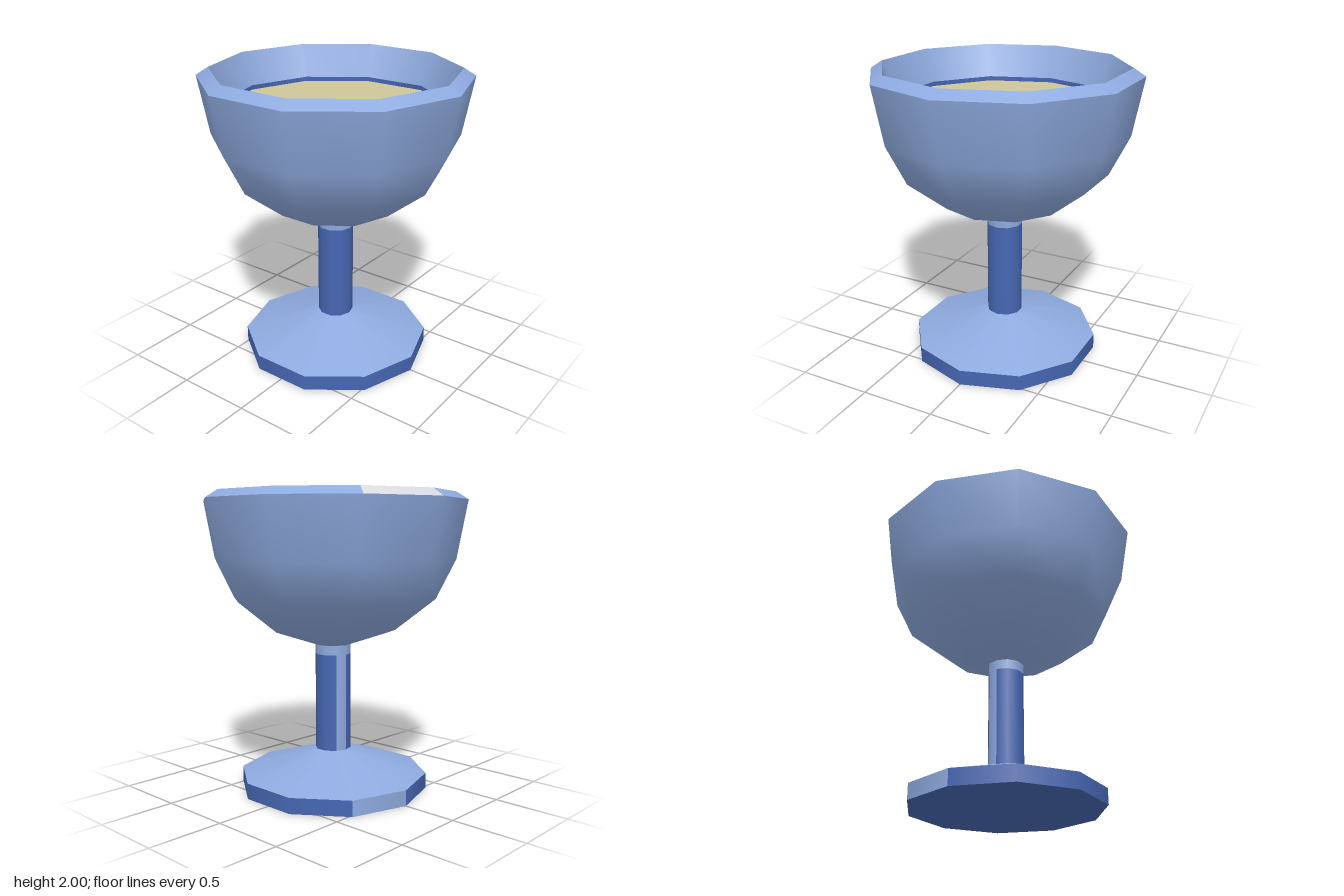
import * as THREE from 'three';

const SIDES = 10;
const STEP = (Math.PI * 2) / SIDES;

export function createModel() {
  const goblet = new THREE.Group();
  goblet.name = 'goblet';

  const mat = (name, color) => {
    const m = new THREE.MeshStandardMaterial({ color });
    m.name = name;
    return m;
  };
  const paleBlue = mat('paleBlue', 0x8eaadf);
  const deepBlue = mat('deepBlue', 0x4767b3);
  const cream = mat('cream', 0xcec697);
  const offWhite = mat('offWhite', 0xd8d9dc);

  const add = (name, geometry, material) => {
    const mesh = new THREE.Mesh(geometry, material);
    mesh.name = name;
    goblet.add(mesh);
    return mesh;
  };

  // Ten-sided turned band; profile is [radius, y] pairs
  const band = (name, profile, material, first = 0, count = SIDES) => add(
    name,
    new THREE.LatheGeometry(
      profile.map(([r, y]) => new THREE.Vector2(r, y)), count, first * STEP, count * STEP),
    material);

  // Band whose back facet has an accent colour
  const accentBand = (name, profile, material, accent) => {
    band(name, profile, material, 5, SIDES - 1);
    band(name + 'Accent', profile, accent, 4, 1);
  };

  // Flat ten-sided cap facing up or down
  const disc = (name, radius, y, up, material) => {
    const g = new THREE.CircleGeometry(radius, SIDES, Math.PI / 2);
    g.rotateX(up ? -Math.PI / 2 : Math.PI / 2);
    add(name, g, material).position.y = y;
  };

  // Foot
  disc('footUnderside', 0.64, 0, false, deepBlue);
  accentBand('footEdge', [[0.64, 0], [0.64, 0.105]], deepBlue, paleBlue);
  band('footSlope', [[0.64, 0.105], [0.12, 0.27]], paleBlue);

  // Stem with a pale collar under the bowl
  accentBand('stem', [[0.12, 0.265], [0.12, 0.925]], deepBlue, paleBlue);
  band('stemCollar', [[0.12, 0.925], [0.12, 0.99]], paleBlue);

  // Bowl, bevelled rim and inner wall
  band('bowl', [[0.12, 0.99], [0.42, 1.09], [0.685, 1.3], [0.815, 1.565], [0.885, 1.95]], paleBlue);
  accentBand('rim', [[0.885, 1.95], [0.806, 2]], paleBlue, offWhite);
  band('innerWall', [[0.806, 2], [0.721, 1.78]], paleBlue);
  band('innerLine', [[0.721, 1.78], [0.721, 1.75]], deepBlue);

  // Drink surface
  disc('drink', 0.721, 1.75, true, cream);

  return goblet;
}
